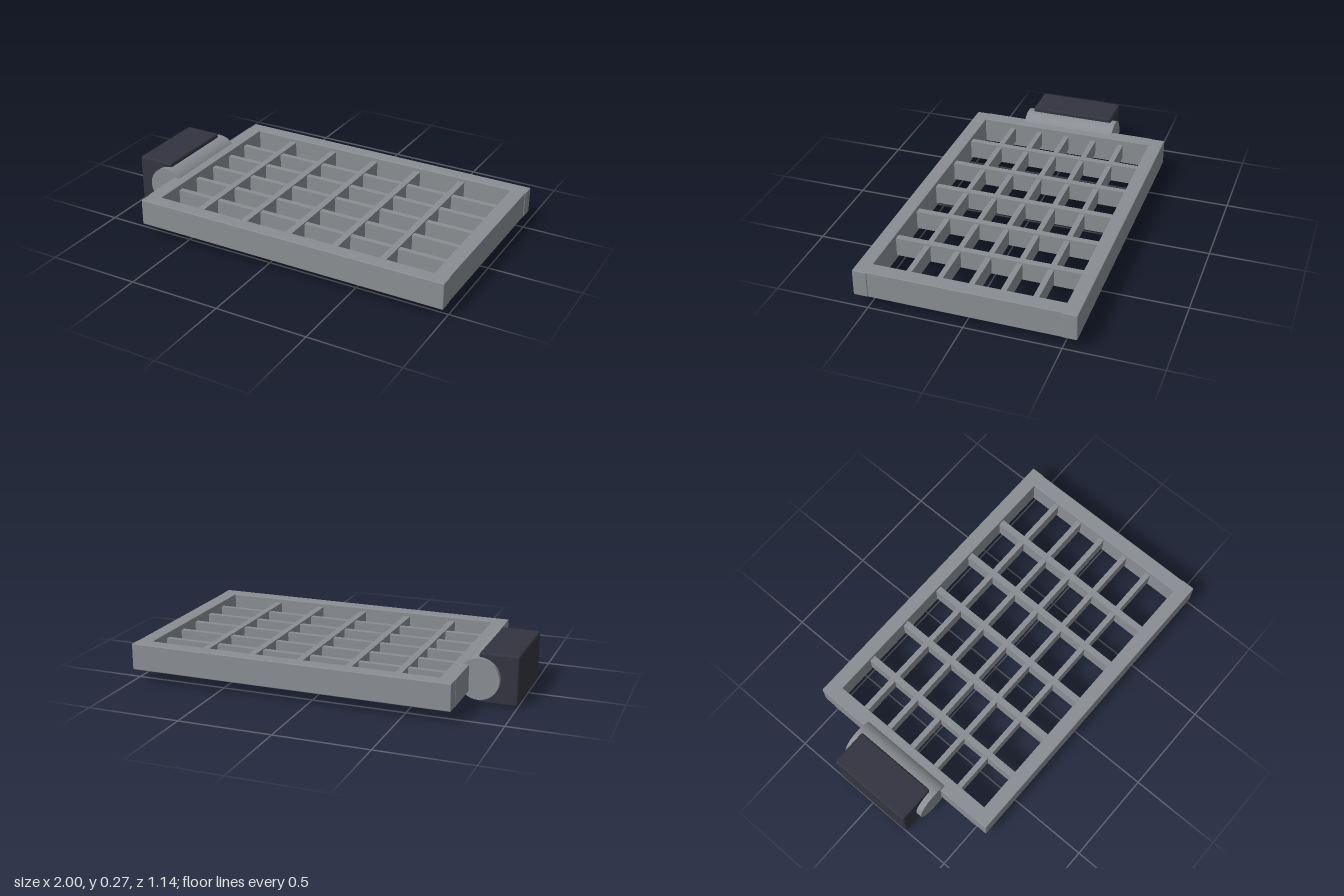
import * as THREE from 'three';
import { RoundedBoxGeometry } from 'three/addons/geometries/RoundedBoxGeometry.js';

export function createModel() {
  const model = new THREE.Group();
  model.name = 'hingedGrate';
  const steel = new THREE.MeshStandardMaterial({ name: 'steelGrey', color: 0x8a8e92 });
  const dark = new THREE.MeshStandardMaterial({ name: 'darkMount', color: 0x343440 });
  const midY = 0.135;

  // Adds a box, softened at the edges when a bevel is given
  const box = (name, material, size, position, bevel = 0) => {
    const geometry = bevel
      ? new RoundedBoxGeometry(...size, 2, bevel)
      : new THREE.BoxGeometry(...size);
    const mesh = new THREE.Mesh(geometry, material);
    mesh.name = name;
    mesh.position.set(...position);
    model.add(mesh);
  };

  // Outer frame: two long rails and two end rails between them
  const frameH = 0.144;
  for (const side of [-1, 1]) {
    box(side > 0 ? 'frontRail' : 'backRail', steel,
      [1.748, frameH, 0.077], [0.125, midY, side * 0.534], 0.005);
    box(side > 0 ? 'leftRail' : 'rightRail', steel,
      [0.08, frameH, 1.0], [0.122 + side * 0.833, midY, 0], 0.003);
  }

  // Grid: taller cross bars, with shallower long bars passing through them
  for (let i = 0; i < 5; i++) {
    box('crossBar', steel, [0.036, 0.101, 1.0], [-0.44 + i * 0.267, midY, 0]);
    box('longBar', steel, [1.6, 0.087, 0.029], [0.122, midY, -0.332 + i * 0.1635]);
  }

  // Hinge barrel lying along z
  const barrel = new THREE.Mesh(new THREE.CylinderGeometry(0.109, 0.109, 0.532, 40), steel);
  barrel.name = 'hingeBarrel';
  barrel.rotation.x = Math.PI / 2;
  barrel.position.set(-0.8, midY, 0.002);
  model.add(barrel);

  // Mounting block behind the hinge
  box('mountBlock', dark, [0.207, 0.267, 0.472], [-0.8965, 0.1335, 0], 0.012);

  return model;
}
